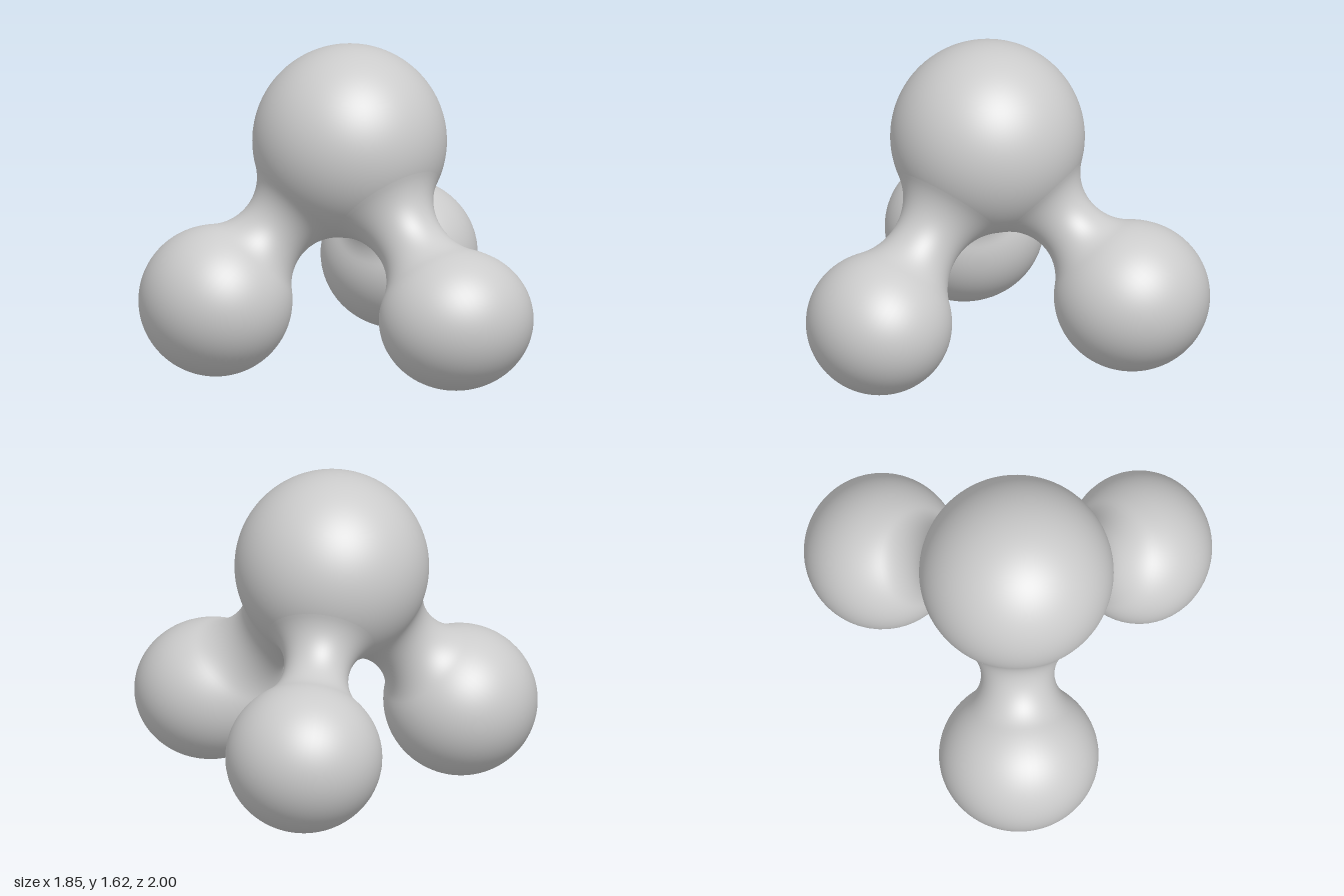
import * as THREE from 'three';
import { mergeVertices } from 'three/addons/utils/BufferGeometryUtils.js';

const CORE = new THREE.Vector3(0.12, 1.143, 0.045);
const CORE_R = 0.477;

// Profile along the axis: concave fillet tangent to the core, then the ball.
function armProfile(length, ballR, neckR) {
  let lo = 0.01, hi = 1, f, t, h;
  for (let i = 0; i < 40; i++) {
    f = (lo + hi) / 2;
    t = ((CORE_R + f) ** 2 - (ballR + f) ** 2 + length ** 2) / (2 * length);
    h = Math.sqrt(Math.max(0, (CORE_R + f) ** 2 - t * t));
    if (h - f < neckR) lo = f; else hi = f;
  }
  const points = [];
  const a0 = Math.atan2(-h, -t), a1 = Math.atan2(-h, length - t);
  for (let i = 0; i < 24; i++) {
    const a = a0 + (a1 - a0) * i / 24;
    points.push(new THREE.Vector2(h + f * Math.sin(a), t + f * Math.cos(a)));
  }
  const b0 = Math.atan2(h, t - length);
  for (let i = 0; i <= 40; i++) {
    const b = b0 * (1 - i / 40);
    points.push(new THREE.Vector2(ballR * Math.sin(b0 - b0 + Math.PI - (Math.PI - b)), length + ballR * Math.cos(b)));
  }
  points[points.length - 1].x = 0;
  return points;
}

// Lathe aimed from the core to the ball, with the ball eased into an ellipsoid.
function armGeometry(center, radii, neckR) {
  const axis = center.clone().sub(CORE);
  const length = axis.length();
  axis.normalize();
  const ballR = (radii.x + radii.y + radii.z) / 3;
  let geo = new THREE.LatheGeometry(armProfile(length, ballR, neckR), 64);
  geo.applyQuaternion(new THREE.Quaternion().setFromUnitVectors(new THREE.Vector3(0, 1, 0), axis));
  geo.translate(CORE.x, CORE.y, CORE.z);
  const pos = geo.attributes.position;
  const scale = radii.clone().divideScalar(ballR);
  const v = new THREE.Vector3();
  for (let i = 0; i < pos.count; i++) {
    v.fromBufferAttribute(pos, i).sub(center);
    const w = THREE.MathUtils.smoothstep(v.dot(axis), -ballR * 1.2, -ballR * 0.5);
    const full = v.clone().multiply(scale);
    v.lerp(full, w).add(center);
    pos.setXYZ(i, v.x, v.y, v.z);
  }
  geo.deleteAttribute('uv');
  geo.deleteAttribute('normal');
  geo = mergeVertices(geo, 1e-5);
  geo.computeVertexNormals();
  return geo;
}

export function createModel() {
  const group = new THREE.Group();
  const material = new THREE.MeshStandardMaterial({ color: 0xcccccc, side: THREE.DoubleSide });
  const add = (name, geometry) => {
    const mesh = new THREE.Mesh(geometry, material);
    mesh.name = name;
    group.add(mesh);
    return mesh;
  };

  // Large central ball
  add('coreBall', new THREE.SphereGeometry(CORE_R, 96, 64)).position.copy(CORE);

  // Three smaller balls with flared necks
  const V = (x, y, z) => new THREE.Vector3(x, y, z);
  const arms = [
    ['rightArm', V(-0.552, 0.372, 0.063), V(0.377, 0.372, 0.391), 0.18],
    ['frontArm', V(0.54, 0.362, 0.642), V(0.38, 0.348, 0.358), 0.17],
    ['backArm', V(0.49, 0.41, -0.617), V(0.385, 0.37, 0.383), 0.16],
  ];
  for (const [name, center, radii, neck] of arms) add(name, armGeometry(center, radii, neck));

  return group;
}
